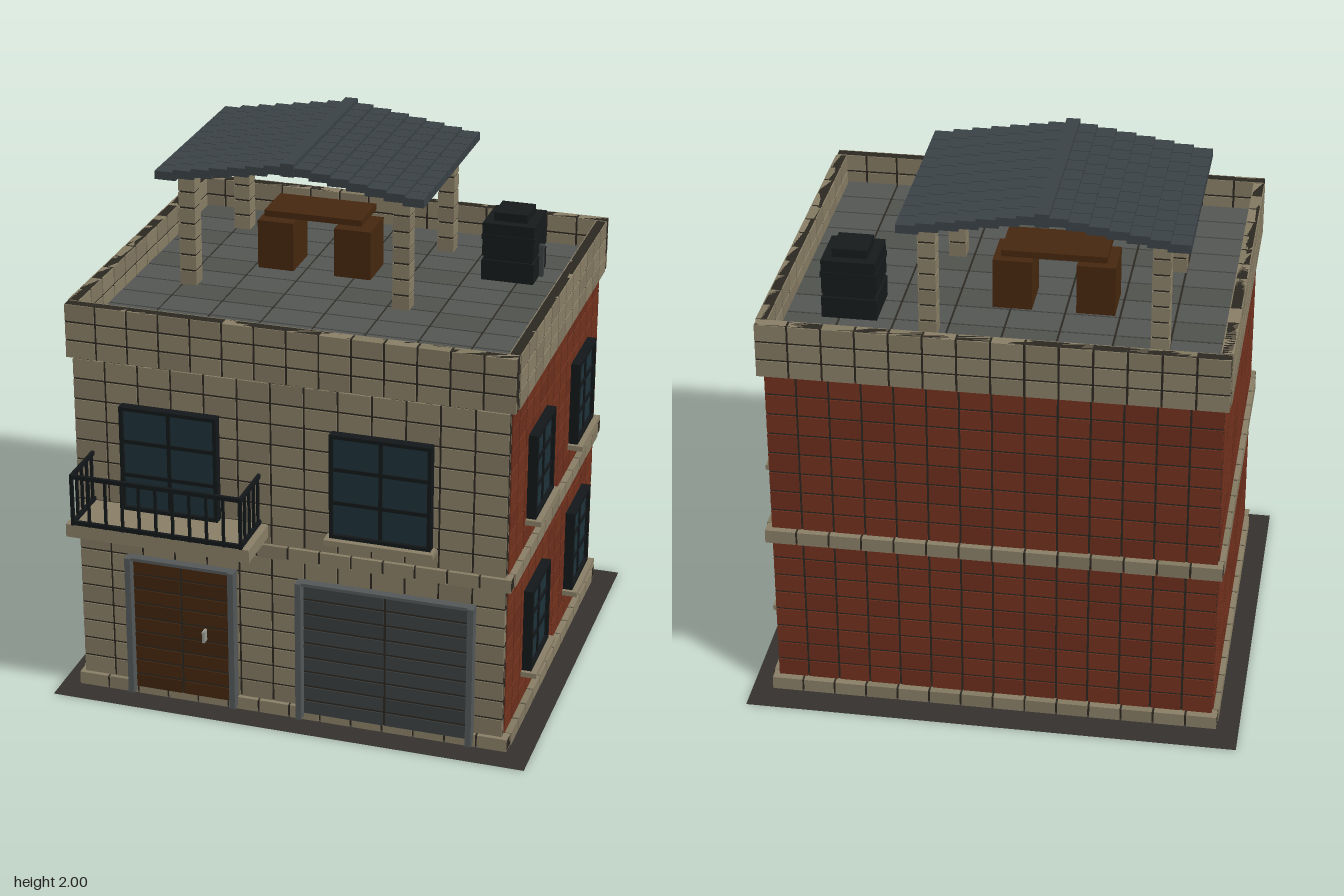
import * as THREE from 'three';
import { mergeGeometries } from 'three/addons/utils/BufferGeometryUtils.js';

const STONE = 0x8c8168, BRICK = 0x74321e, MORTAR = 0x2c2822, FRAME = 0x14181a, GLASS = 0x1d323a;
const WOOD = 0x47280f, STEEL = 0x3d4242, TRIM = 0x55595a, SLATE = 0x3b4347, FLOOR = 0x565854, TANK = 0x171b1c;

const materials = {};
function mat(color) {
  return (materials[color] ??= new THREE.MeshStandardMaterial({ color, flatShading: true }));
}
function boxGeo(x0, x1, y0, y1, z0, z1) {
  return new THREE.BoxGeometry(x1 - x0, y1 - y0, z1 - z0)
    .translate((x0 + x1) / 2, (y0 + y1) / 2, (z0 + z1) / 2);
}
function mesh(name, color, geos) {
  const m = new THREE.Mesh(mergeGeometries(geos), mat(color));
  m.name = name;
  return m;
}
function group(name, ...children) {
  const g = new THREE.Group();
  g.name = name;
  if (children.length) g.add(...children);
  return g;
}
const block = (name, color, ...b) => mesh(name, color, [boxGeo(...b)]);

// Small seeded generator for the brick shades
let seed = 7;
const random = () => (seed = (seed * 16807) % 2147483647) / 2147483647;

// A box split into nx * ny * nz blocks with joints, around a dark core
function tiled(name, color, [x0, x1, y0, y1, z0, z1], [nx, ny, nz], joint = 0.008) {
  const gap = (n) => (n > 1 ? joint / 2 : 0);
  const gx = gap(nx), gy = gap(ny), gz = gap(nz);
  const dx = (x1 - x0) / nx, dy = (y1 - y0) / ny, dz = (z1 - z0) / nz;
  const shades = [[], []];
  for (let i = 0; i < nx; i++) for (let j = 0; j < ny; j++) for (let k = 0; k < nz; k++) {
    const x = x0 + i * dx, y = y0 + j * dy, z = z0 + k * dz;
    shades[random() < 0.7 ? 0 : 1].push(
      boxGeo(x + gx, x + dx - gx, y + gy, y + dy - gy, z + gz, z + dz - gz));
  }
  const s = 0.004;
  const g = group(name, block('joints', MORTAR, x0 + s, x1 - s, y0 + s, y1 - s, z0 + s, z1 - s));
  const dim = new THREE.Color(color).multiplyScalar(0.88).getHex();
  shades.forEach((list, i) => {
    if (list.length) g.add(mesh('blocks', i ? dim : color, list));
  });
  return g;
}

// Four strips of stone running round the building
function ring(name, y0, y1, rows, t) {
  const X0 = -0.837, X1 = 0.83, Z0 = -0.775, Z1 = 0.652;
  return group(name,
    tiled('frontStrip', STONE, [X0, X1, y0, y1, Z1 - t, Z1], [14, rows, 1]),
    tiled('backStrip', STONE, [X0, X1, y0, y1, Z0, Z0 + t], [14, rows, 1]),
    tiled('leftStrip', STONE, [X1 - t, X1, y0, y1, Z0 + t, Z1 - t], [1, rows, 12]),
    tiled('rightStrip', STONE, [X0, X0 + t, y0, y1, Z0 + t, Z1 - t], [1, rows, 12]));
}

// Window in the xy plane facing +z, base centre at the origin
function windowUnit(name, w, h, sill) {
  const f = 0.014, d = 0.036, frame = [];
  for (const x of [-w / 2 + f / 2, 0, w / 2 - f / 2])
    frame.push(boxGeo(x - f / 2, x + f / 2, 0, h, 0, x ? d : d - 0.008));
  for (let i = 0; i <= 3; i++) {
    const y = f / 2 + (i * (h - f)) / 3, edge = i % 3 === 0;
    frame.push(boxGeo(-w / 2, w / 2, y - f / 2, y + f / 2, 0, edge ? d : d - 0.008));
  }
  const g = group(name, block('glass', GLASS, -w / 2 + f, w / 2 - f, f, h - f, 0, 0.022), mesh('frame', FRAME, frame));
  if (sill) g.add(block('sill', STONE, -w / 2 - 0.015, w / 2 + 0.015, -0.02, 0, 0, 0.058));
  return g;
}

// Panelled door with side and top trim, front face towards +z
function doorUnit(name, color, x0, x1, rows) {
  return group(name,
    tiled('panels', color, [x0, x1, 0.05, 0.59, 0.63, 0.662], [2, rows, 1], 0.009),
    mesh('trim', TRIM, [
      boxGeo(x0 - 0.022, x0, 0.035, 0.6, 0.63, 0.685),
      boxGeo(x1, x1 + 0.022, 0.035, 0.6, 0.63, 0.685),
      boxGeo(x0, x1, 0.588, 0.6, 0.63, 0.675)]));
}

function balcony() {
  const bars = [], r = 0.006, x0 = -0.749, x1 = -0.111, z0 = 0.66, z1 = 0.849, y0 = 0.8, y1 = 1;
  const post = (x, z, s) => bars.push(boxGeo(x - s, x + s, y0, y1, z - s, z + s));
  for (let i = 0; i <= 10; i++) post(x0 + ((x1 - x0) * i) / 10, z1, i % 10 ? r * 0.8 : r);
  for (const x of [x0, x1]) for (let i = 0; i < 4; i++) post(x, z0 + ((z1 - z0) * i) / 4, r * 0.8);
  for (const y of [0.81, 0.993]) {
    bars.push(boxGeo(x0 - r, x1 + r, y - 0.008, y + 0.008, z1 - r, z1 + r));
    for (const x of [x0, x1]) bars.push(boxGeo(x - r, x + r, y - 0.008, y + 0.008, 0.64, z1));
  }
  return group('balcony',
    block('balconySlab', STONE, -0.777, -0.08, 0.75, 0.8, 0.63, 0.852),
    mesh('balconyRailing', FRAME, bars));
}

// Stepped slate canopy on four stone posts
function pergola() {
  const g = group('pergola'), cx = -0.16, tiles = [];
  for (const x of [-0.567, 0.253]) for (const z of [0.07, -0.535])
    g.add(tiled('post', STONE, [x - 0.032, x + 0.032, 1.46, 1.89, z - 0.032, z + 0.032], [1, 7, 1]));
  for (const side of [-1, 1]) for (let i = 0; i < 7; i++) {
    const a = cx + side * (0.01 + i * 0.07), b = a + side * 0.08, top = 1.984 - i * 0.011;
    for (let k = 0; k < 10; k++) {
      const z = -0.622 + k * 0.0775;
      tiles.push(boxGeo(Math.min(a, b), Math.max(a, b), top - 0.032, top, z + 0.002, z + 0.0755));
    }
  }
  g.add(mesh('canopyTiles', SLATE, tiles),
    block('ridgeCap', SLATE, cx - 0.025, cx + 0.025, 1.95, 2, -0.628, 0.156));
  return g;
}

function waterTank() {
  const g = group('waterTank'), cx = 0.552, cz = -0.385;
  const layer = (name, r, y0, y1) =>
    g.add(block(name, TANK, cx - r, cx + r, y0, y1, cz - r, cz + r));
  layer('tankBase', 0.1, 1.46, 1.54);
  layer('tankGroove', 0.092, 1.54, 1.555);
  layer('tankMiddle', 0.098, 1.555, 1.62);
  layer('tankBand', 0.101, 1.62, 1.64);
  layer('tankTop', 0.098, 1.64, 1.685);
  layer('tankLid', 0.064, 1.685, 1.718);
  g.add(block('tankPipe', STEEL, cx + 0.095, cx + 0.115, 1.46, 1.585, cz - 0.01, cz + 0.01));
  return g;
}

export function createModel() {
  const model = group('house');

  // Ground sheet
  const ground = new THREE.Mesh(new THREE.PlaneGeometry(1.824, 1.587).rotateX(-Math.PI / 2),
    new THREE.MeshStandardMaterial({ color: 0x35322e, side: THREE.DoubleSide }));
  ground.name = 'ground';
  ground.position.set(-0.002, 0, -0.069);
  model.add(ground);

  // Walls of both storeys: stone front, brick elsewhere
  model.add(block('core', MORTAR, -0.8, 0.79, 0.02, 1.44, -0.735, 0.61));
  for (const [y0, y1] of [[0.07, 0.67], [0.72, 1.362]]) {
    model.add(
      tiled('frontWall', STONE, [-0.817, 0.808, y0, y1, 0.615, 0.642], [13, 8, 1]),
      tiled('backWall', BRICK, [-0.817, 0.808, y0, y1, -0.753, -0.73], [14, 8, 1]),
      tiled('leftWall', BRICK, [0.785, 0.808, y0, y1, -0.73, 0.615], [1, 8, 13]),
      tiled('rightWall', BRICK, [-0.817, -0.794, y0, y1, -0.73, 0.615], [1, 8, 13]));
  }
  model.add(ring('plinth', 0.02, 0.07, 1, 0.05), ring('floorBand', 0.67, 0.722, 1, 0.05),
    ring('parapet', 1.362, 1.574, 3, 0.044));
  model.add(tiled('roofFloor', FLOOR, [-0.793, 0.786, 1.44, 1.46, -0.731, 0.608], [8, 1, 10]));

  // Doors
  model.add(doorUnit('frontDoor', WOOD, -0.603, -0.225, 9), doorUnit('garageDoor', STEEL, 0.055, 0.678, 9),
    block('doorHandle', 0x9a9a92, -0.325, -0.315, 0.3, 0.345, 0.66, 0.692));

  // Front windows and balcony
  const balconyWindow = windowUnit('balconyWindow', 0.37, 0.41, false);
  balconyWindow.position.set(-0.443, 0.8, 0.645);
  const frontWindow = windowUnit('frontWindow', 0.375, 0.405, true);
  frontWindow.position.set(0.35, 0.805, 0.645);
  model.add(balconyWindow, frontWindow, balcony());

  // Side windows
  for (const y of [0.225, 0.848]) for (const z of [0.27, -0.385]) {
    const w = windowUnit('sideWindow', 0.27, 0.328, true);
    w.rotation.y = Math.PI / 2;
    w.position.set(0.816, y, z);
    model.add(w);
  }

  // Rooftop furniture
  model.add(pergola(), waterTank(),
    block('tableTop', WOOD, -0.35, 0.03, 1.673, 1.697, -0.33, -0.14),
    block('stool', WOOD, -0.38, -0.24, 1.46, 1.65, -0.32, -0.15),
    block('stool', WOOD, -0.08, 0.062, 1.46, 1.65, -0.32, -0.15));
  return model;
}
